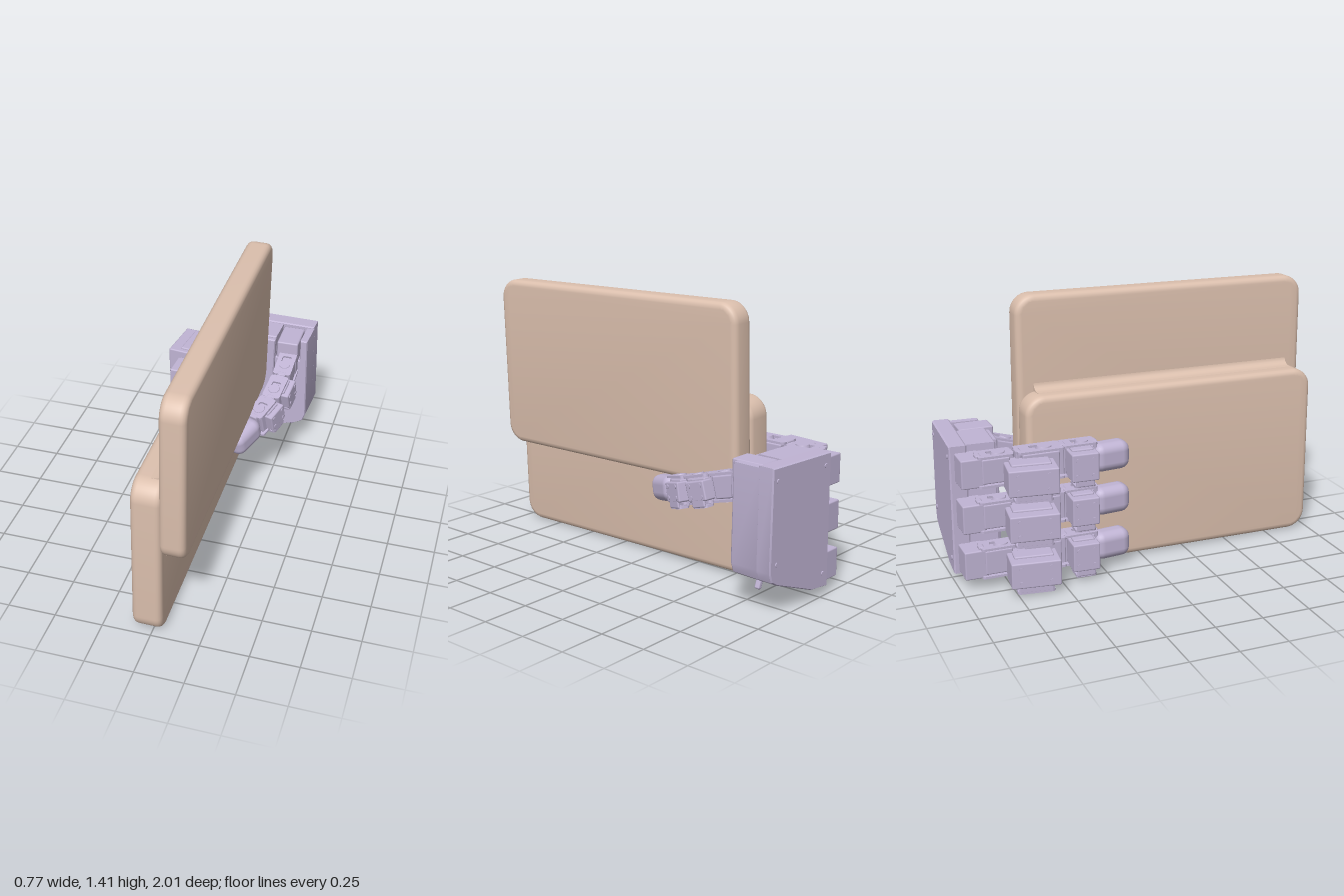
import * as THREE from 'three';
import { RoundedBoxGeometry } from 'three/addons/geometries/RoundedBoxGeometry.js';
import { toCreasedNormals } from 'three/addons/utils/BufferGeometryUtils.js';

const skin = new THREE.MeshStandardMaterial({ color: 0xdcc0ae });
const shell = new THREE.MeshStandardMaterial({ color: 0xc0b4d4 });

function add(parent, name, geometry, material, x = 0, y = 0, z = 0) {
  const mesh = new THREE.Mesh(geometry, material);
  mesh.name = name;
  mesh.position.set(x, y, z);
  parent.add(mesh);
  return mesh;
}

function group(parent, name, x = 0, y = 0, z = 0) {
  const g = new THREE.Group();
  g.name = name;
  g.position.set(x, y, z);
  parent.add(g);
  return g;
}

const box = (parent, name, w, h, d, x, y, z) =>
  add(parent, name, new RoundedBoxGeometry(w, h, d, 1, 0.008), shell, x, y, z);

function roundedRect(w, h, r, target = new THREE.Shape()) {
  const a = w / 2, b = h / 2;
  target.moveTo(-a + r, -b);
  target.lineTo(a - r, -b);
  target.absarc(a - r, -b + r, r, -Math.PI / 2, 0);
  target.absarc(a - r, b - r, r, 0, Math.PI / 2);
  target.absarc(-a + r, b - r, r, Math.PI / 2, Math.PI);
  target.absarc(-a + r, -b + r, r, Math.PI, Math.PI * 1.5);
  return target;
}

// Upright slab with rounded corners and soft edges, thin along x
function slab(parent, name, thick, height, length, x, y) {
  const e = 0.03;
  const geo = new THREE.ExtrudeGeometry(roundedRect(length - 2 * e, height - 2 * e, 0.07), {
    depth: thick - 2 * e, bevelSize: e, bevelThickness: e, bevelSegments: 4, curveSegments: 6,
  });
  geo.center();
  geo.rotateY(-Math.PI / 2);
  add(parent, name, toCreasedNormals(geo, 0.7), skin, x, y, 0);
}

// Concave strip that softens the step between the slabs
function fillet(parent, name, x, y, dx, dy) {
  const s = new THREE.Shape();
  s.moveTo(x - dx * 0.3, y - dy * 0.5);
  s.lineTo(x + dx, y - dy * 0.5);
  s.lineTo(x + dx, y);
  s.quadraticCurveTo(x, y, x, y + dy);
  s.lineTo(x - dx * 0.3, y + dy);
  const geo = new THREE.ExtrudeGeometry(s, { depth: 1.44, bevelEnabled: false, curveSegments: 6 });
  add(parent, name, toCreasedNormals(geo, 0.7), skin, 0, 0, -0.72);
}

// Flat plate with a window, lying in x-z
function windowPlate(parent, name, w, d, x, y, z) {
  const s = roundedRect(w, d, 0.015);
  s.holes.push(roundedRect(w * 0.5, d * 0.4, 0.01, new THREE.Path()));
  const geo = new THREE.ExtrudeGeometry(s, { depth: 0.012, bevelEnabled: false, curveSegments: 3 });
  geo.center();
  geo.rotateX(Math.PI / 2);
  add(parent, name, geo, shell, x, y, z);
}

// Hinge: core block, bracket plates and round horns on both ends of the axis
function hinge(parent, name, w, h, d, x, y, z) {
  const g = group(parent, name, x, y, z);
  box(g, 'hingeCore', w * 0.85, h * 0.78, d * 0.8, 0, 0, 0);
  for (const s of [-1, 1]) {
    windowPlate(g, 'bracketPlate', w, d, 0, s * h * 0.45, 0);
    add(g, 'hingeHorn', new THREE.CylinderGeometry(w * 0.3, w * 0.36, h * 0.12, 12), shell, 0, s * h * 0.46, d * 0.12);
    box(g, 'bracketWeb', w * 0.5, h, 0.03, 0, 0, s * d * 0.46);
  }
  return g;
}

// Motor block with a bracket below it and screw heads on its outer end
function motor(parent, name, w, h, d, x, y, z, side) {
  const g = group(parent, name, x, y, z);
  box(g, 'motorBody', w, h, d, 0, 0, 0);
  box(g, 'motorCap', w * 0.6, 0.02, d * 0.8, -side * w * 0.2, h / 2, 0);
  for (const s of [-1, 1]) {
    box(g, 'bracketLeg', 0.015, 0.045, d * 0.7, s * w * 0.38, -h / 2 - 0.008, 0);
    for (const t of [-1, 1]) {
      const screw = add(g, 'screw', new THREE.CylinderGeometry(0.011, 0.011, 0.008, 8), shell, side * w / 2, t * h * 0.28, s * d * 0.3);
      screw.rotation.z = Math.PI / 2;
    }
  }
  windowPlate(g, 'motorBracket', w * 0.85, d * 0.75, 0, -h / 2 - 0.028, 0);
  return g;
}

function buildBoard(root) {
  const board = group(root, 'steppedBoard', 0, 0.705, 0.193);
  board.rotation.set(0.01, 0.006, -0.022);
  slab(board, 'lowerSlab', 0.152, 0.91, 1.61, -0.014, -0.24);
  slab(board, 'upperSlab', 0.128, 0.91, 1.61, 0.113, 0.245);
  fillet(board, 'upperStep', 0.05, 0.215, -0.06, 0.045);
  fillet(board, 'lowerStep', 0.06, -0.21, 0.06, -0.045);
}

function buildPalm(root) {
  const palm = group(root, 'palm', 0.155, 0, -0.87);
  palm.rotation.y = -0.05;
  const lower = [[-0.215, 0.05], [-0.1, 0.06], [0.17, 0.16], [0.205, 0.18], [0.22, 0.225]];
  const outline = (pts) => new THREE.Shape(pts.map(([x, y]) => new THREE.Vector2(x, y)));
  const extrude = (name, pts, depth, z) => {
    const geo = new THREE.ExtrudeGeometry(outline(pts), {
      depth: depth - 0.016, bevelSize: 0.005, bevelThickness: 0.008, bevelSegments: 1,
    });
    add(palm, name, toCreasedNormals(geo, 0.4), shell, 0, 0, z + 0.008);
  };
  extrude('backPlate', [...lower, [0.21, 0.72], [-0.215, 0.715]], 0.09, -0.12);
  // Body with a pocket for the thumb motor
  extrude('palmBody', [...lower, [0.21, 0.71], [0.18, 0.71], [0.18, 0.58], [0.03, 0.58], [0.03, 0.71], [-0.19, 0.71]], 0.17, -0.05);
  extrude('palmFront', [[-0.13, 0.1], [-0.08, 0.1], [0.02, 0.14], [0.03, 0.7], [-0.13, 0.7]], 0.05, 0.095);
  for (const [x, y] of [[-0.18, 0.12], [-0.18, 0.66], [0.18, 0.26], [0.18, 0.66]]) {
    const screw = add(palm, 'plateScrew', new THREE.CylinderGeometry(0.012, 0.012, 0.008, 10), shell, x, y, -0.121);
    screw.rotation.x = Math.PI / 2;
  }
  const peg = box(palm, 'palmPeg', 0.025, 0.08, 0.03, 0.115, 0.125, 0.03);
  peg.rotation.z = 0.35;
}

function buildFinger(root, y) {
  const f = group(root, 'finger', 0, y, 0);
  box(f, 'knuckleBase', 0.14, 0.15, 0.12, -0.115, 0, -0.915);
  hinge(f, 'baseHinge', 0.11, 0.165, 0.18, -0.145, 0.005, -0.8);
  const outer = motor(f, 'baseMotor', 0.155, 0.135, 0.25, -0.295, -0.015, -0.655, -1);
  outer.rotation.y = -0.13;
  box(f, 'baseLink', 0.1, 0.11, 0.09, -0.18, 0, -0.685);
  hinge(f, 'middleHinge', 0.12, 0.165, 0.24, -0.16, 0.01, -0.575);
  const inner = motor(f, 'middleMotor', 0.12, 0.145, 0.14, -0.245, 0.0, -0.375, -1);
  inner.rotation.y = -0.05;
  hinge(f, 'tipHinge', 0.105, 0.17, 0.18, -0.16, 0.01, -0.37);
  const tip = add(f, 'fingertip', new RoundedBoxGeometry(0.12, 0.15, 0.2, 3, 0.048), shell, -0.152, -0.005, -0.198);
  tip.rotation.y = 0.1;
}

function buildThumb(root) {
  const t = group(root, 'thumb');
  box(t, 'thumbMotor', 0.12, 0.1, 0.18, 0.26, 0.665, -0.79);
  box(t, 'thumbMount', 0.1, 0.12, 0.12, 0.265, 0.58, -0.75);
  const path = [[0.27, 0.59, -0.76], [0.265, 0.535, -0.56], [0.245, 0.485, -0.4], [0.19, 0.445, -0.25], [0.115, 0.405, -0.085]]
    .map((p) => new THREE.Vector3(...p));
  // Each segment points along the path towards the tip
  for (let i = 0; i < 4; i++) {
    const a = path[i], b = path[i + 1], len = a.distanceTo(b);
    const seg = group(t, 'thumbSegment', ...a.clone().lerp(b, 0.5).toArray());
    seg.lookAt(b);
    if (i === 3) {
      add(seg, 'thumbTip', new RoundedBoxGeometry(0.115, 0.135, len + 0.02, 3, 0.048), shell);
    } else {
      hinge(seg, 'thumbHinge', 0.1, 0.145, len * 0.95, 0, 0, 0);
      if (i > 0) motor(seg, 'thumbSideMotor', 0.07, 0.1, len * 0.75, 0.05, -0.005, -0.03, 1);
    }
  }
}

export function createModel() {
  const root = new THREE.Group();
  root.name = 'gripperHoldingBoard';
  buildBoard(root);
  buildPalm(root);
  for (const y of [0.61, 0.375, 0.13]) buildFinger(root, y);
  buildThumb(root);
  return root;
}
